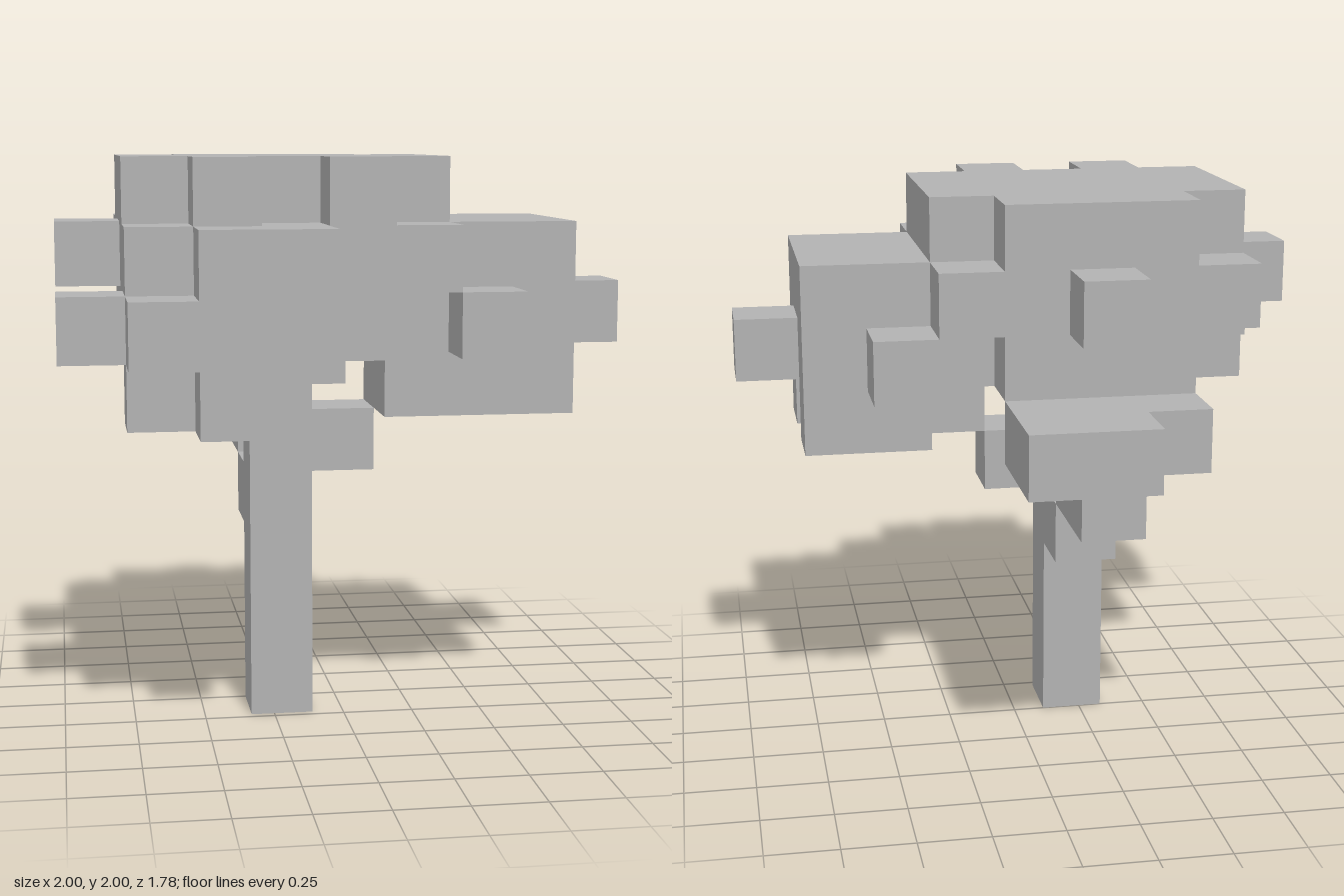
import * as THREE from 'three';
import { mergeGeometries } from 'three/addons/utils/BufferGeometryUtils.js';

const S = 2 / 9; // cube edge

// Layers from the ground up; rows run back to front, columns along +x.
// T = trunk and twigs, B = low boughs, L = leaves
const trunkLayer = ['', '', '', '', '...T'];
const LAYERS = [
  trunkLayer,
  trunkLayer,
  trunkLayer,
  ['', '', '', '...T', '...T'],
  ['', '...B', '...B', '', '...TT'],
  ['...BB', '..BBB', '..BB', '......LL', '...T.LL', '..L..LLL', '.LL', '..L'],
  ['', '', '..LLL.L', '.LLLLLLL', '.LLLLLLLL', '.LLLLLLL', 'LLLLL.L', '.LLL'],
  ['', '...L', '.LLLLL', '.LLLLLLL', 'LLLLLLLL', '.LLLLLLL', '.LLLLL', '..LL'],
  ['', '', '..LLL', '.LLLLL', '.LLLLL', '.LLLLL', '..L.L', ''],
];

const cell = (x, y, z) => {
  const c = LAYERS[y]?.[z]?.[x];
  return c && c !== '.' ? c : null;
};

// One outward quad for each direction
const SIDES = [
  [1, 0, 0], [-1, 0, 0], [0, 1, 0], [0, -1, 0], [0, 0, 1], [0, 0, -1],
].map((dir) => {
  const quad = new THREE.PlaneGeometry(S, S).translate(0, 0, S / 2);
  quad.applyQuaternion(new THREE.Quaternion().setFromUnitVectors(
    new THREE.Vector3(0, 0, 1), new THREE.Vector3(...dir)));
  if (dir[2] === -1) quad.copy(new THREE.PlaneGeometry(S, S).translate(0, 0, S / 2).rotateY(Math.PI));
  return { dir, quad };
});

// Outer skin of all cubes of one kind
function skin(kind) {
  const quads = [];
  LAYERS.forEach((rows, y) => rows.forEach((row, z) => [...row].forEach((c, x) => {
    if (c !== kind) return;
    for (const { dir: [dx, dy, dz], quad } of SIDES) {
      if (cell(x + dx, y + dy, z + dz)) continue;
      if (y === 0 && dy === -1) continue; // trunk is open underneath
      quads.push(quad.clone().translate((x - 4) * S, (y + 0.5) * S, (z - 3.5) * S));
    }
  })));
  return mergeGeometries(quads);
}

export function createModel() {
  const grey = new THREE.MeshStandardMaterial({ color: 0xb2b2b2, side: THREE.DoubleSide });
  grey.name = 'grey';

  const tree = new THREE.Group();
  tree.name = 'tree';
  for (const [name, kind] of [['trunk', 'T'], ['lowBough', 'B'], ['leafCrown', 'L']]) {
    const mesh = new THREE.Mesh(skin(kind), grey);
    mesh.name = name;
    tree.add(mesh);
  }
  return tree;
}
